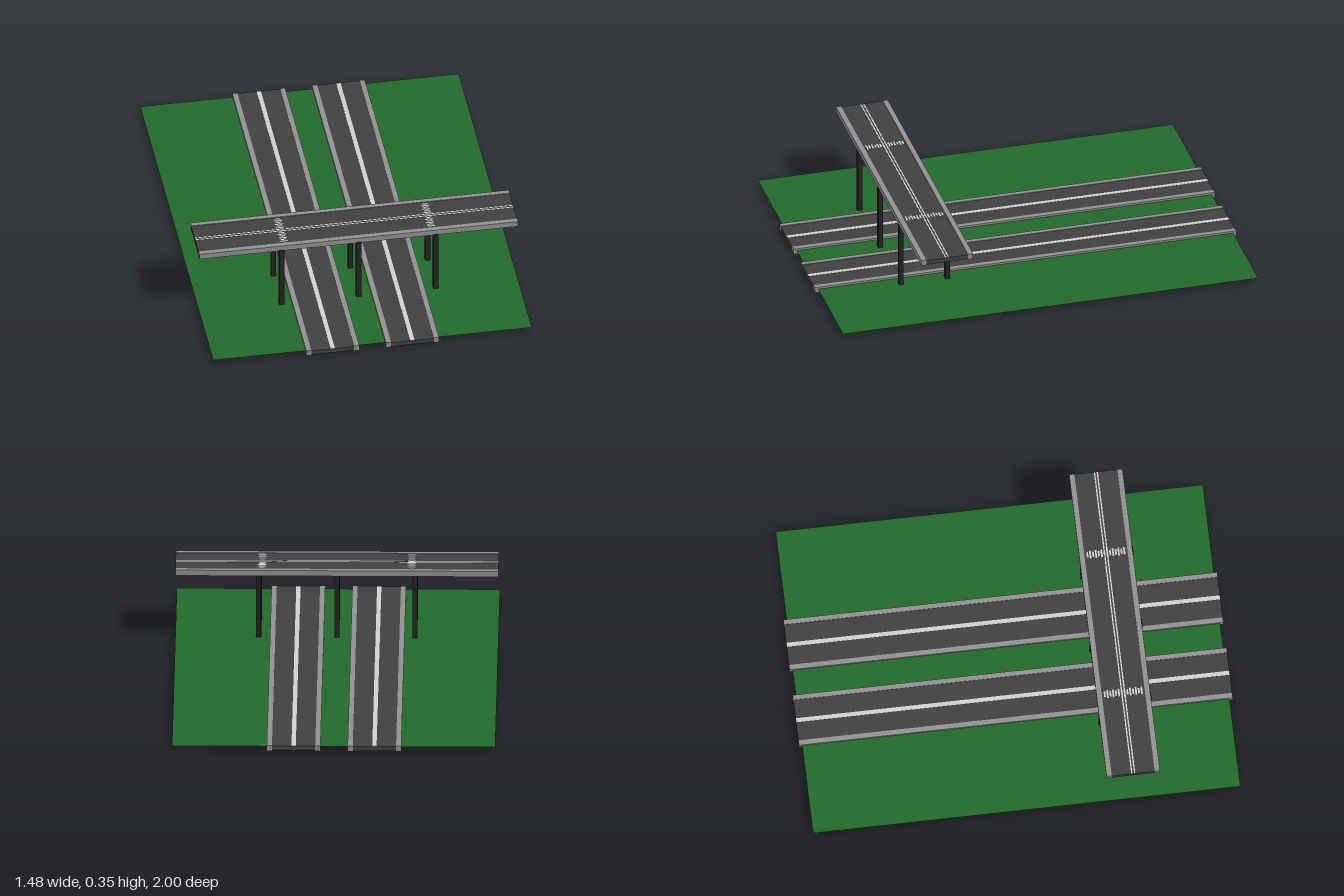
import * as THREE from 'three';

const mat = (name, color) => {
  const m = new THREE.MeshStandardMaterial({ color });
  m.name = name;
  return m;
};

export function createModel() {
  const grass = mat('grass green', 0x226a2c);
  grass.side = THREE.DoubleSide;
  const asphalt = mat('asphalt grey', 0x404040);
  const concrete = mat('kerb grey', 0x929090);
  const paint = mat('line white', 0xd0d0d0);
  const steel = mat('pillar black', 0x242424);

  const model = new THREE.Group();
  model.name = 'overpass';

  const box = (parent, name, material, [w, h, d], [x, y, z]) => {
    const mesh = new THREE.Mesh(new THREE.BoxGeometry(w, h, d), material);
    mesh.name = name;
    mesh.position.set(x, y, z);
    parent.add(mesh);
    return mesh;
  };

  // Flat ground sheet, level with the middle of the road slabs
  const ground = new THREE.Mesh(new THREE.PlaneGeometry(1.48, 1.97), grass);
  ground.name = 'ground';
  ground.rotation.x = -Math.PI / 2;
  ground.position.y = 0.0175;
  model.add(ground);

  // Road slab running along z with a kerb on each side
  const makeRoad = (name, length) => {
    const road = new THREE.Group();
    road.name = name;
    box(road, 'roadSurface', asphalt, [0.198, 0.022, length], [0, 0.0135, 0]);
    for (const side of [-1, 1]) {
      box(road, 'kerb', concrete, [0.024, 0.027, length], [side * 0.111, 0.0135, 0]);
    }
    model.add(road);
    return road;
  };

  // Two carriageways on the ground
  for (const side of [-1, 1]) {
    const road = makeRoad(side < 0 ? 'rightCarriageway' : 'leftCarriageway', 2);
    road.position.x = side < 0 ? -0.187 : 0.183;
    box(road, 'centreLine', paint, [0.02, 0.0012, 1.998], [0, 0.0249, 0]);
    box(road, 'undersideLine', paint, [0.006, 0.0012, 1.998], [0, 0.0021, 0]);
  }

  // Bridge deck crossing above them
  const bridge = makeRoad('bridgeDeck', 1.48);
  bridge.rotation.y = Math.PI / 2;
  bridge.position.set(0, 0.322, 0.491);
  for (const side of [-1, 1]) {
    box(bridge, 'centreLine', paint, [0.006, 0.0012, 1.478], [side * 0.0065, 0.0249, 0]);
    // Ladder of short bars across the deck
    for (let i = 0; i < 14; i++) {
      box(bridge, 'crossBar', paint, [0.008, 0.0012, i % 2 ? 0.026 : 0.038],
        [-0.085 + (i * 0.17) / 13, 0.0252, side * 0.342]);
    }
  }

  // Three pairs of square pillars
  for (const x of [-0.358, 0, 0.358]) {
    for (const z of [0.387, 0.607]) {
      box(model, 'pillar', steel, [0.023, 0.311, 0.022], [x, 0.1705, z]);
    }
  }
  return model;
}
